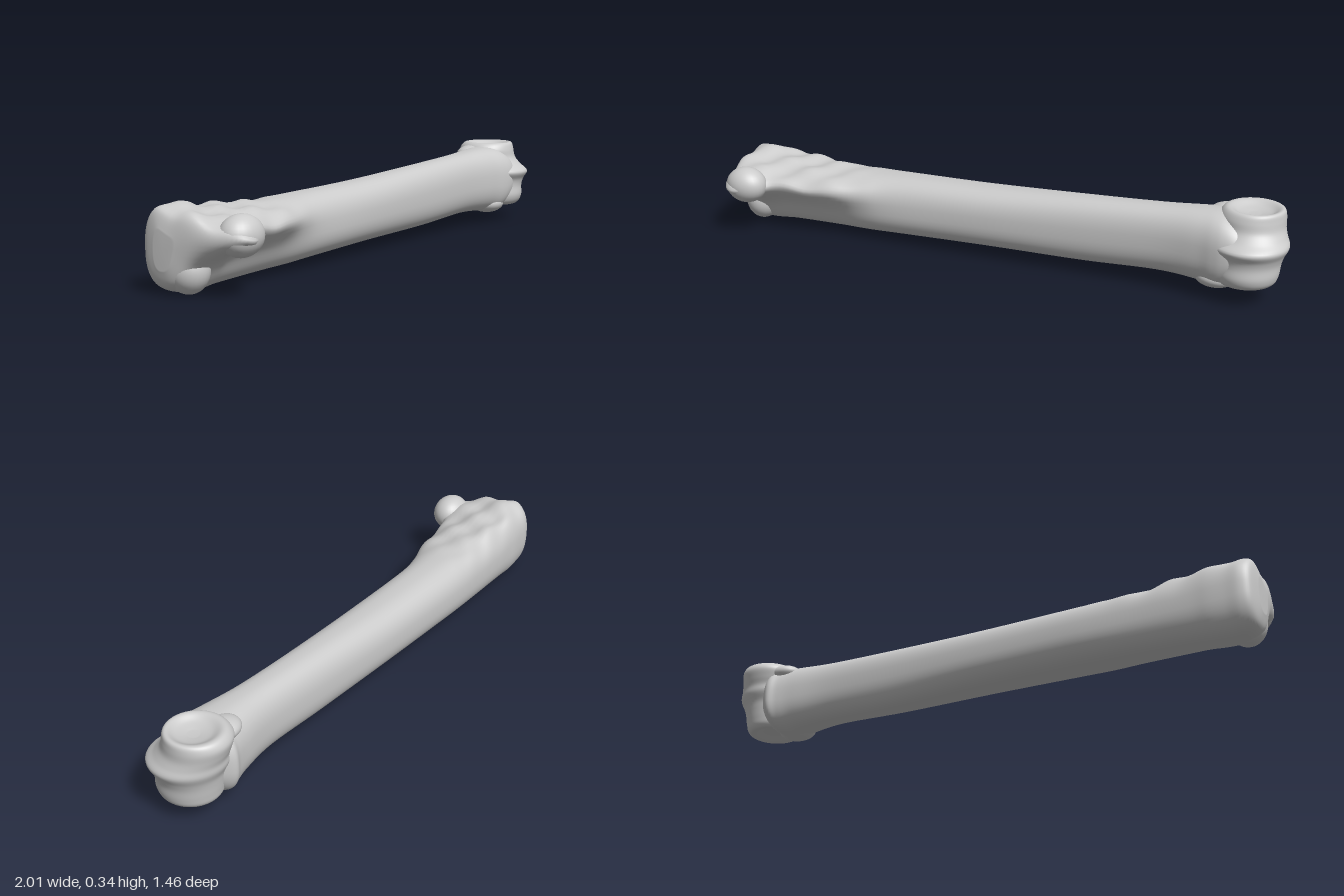
import * as THREE from 'three';

const material = new THREE.MeshStandardMaterial({ color: 0xcccccc });
const SEG = 56;

// Horizontal bone frame: s runs along the shaft, w across it towards the front
const along = new THREE.Vector3(0.857, 0, -0.515);
const across = new THREE.Vector3(0.515, 0, 0.857);
const place = (s, w, y) => new THREE.Vector3(0, y, 0).addScaledVector(along, s).addScaledVector(across, w);

// Smoothly sample a table of rows, keyed by their position in the table
function resample(rows, steps) {
  const out = [];
  for (let i = 0; i < rows.length - 1; i++) {
    const [a, b, c, d] = [-1, 0, 1, 2].map(k => rows[THREE.MathUtils.clamp(i + k, 0, rows.length - 1)]);
    for (let j = 0; j < steps; j++) {
      const t = j / steps;
      out.push(b.map((v, k) => v + 0.5 * t * (c[k] - a[k]
        + t * (2 * a[k] - 5 * v + 4 * c[k] - d[k] + t * (3 * (v - c[k]) + d[k] - a[k])))));
    }
  }
  out.push(rows[rows.length - 1]);
  return out;
}

// Skin closed rings of points, with a centre point closing each end
function loft(name, rings) {
  const pos = [], index = [], n = SEG;
  rings.forEach(r => r.forEach(p => pos.push(p.x, p.y, p.z)));
  for (let i = 0; i < rings.length - 1; i++) {
    for (let j = 0; j < n; j++) {
      const a = i * n + j, b = i * n + (j + 1) % n;
      index.push(a, b, a + n, b, b + n, a + n);
    }
  }
  [0, rings.length - 1].forEach((r, end) => {
    const c = new THREE.Vector3();
    rings[r].forEach(p => c.addScaledVector(p, 1 / n));
    const id = pos.length / 3;
    pos.push(c.x, c.y, c.z);
    for (let j = 0; j < n; j++) {
      const a = r * n + j, b = r * n + (j + 1) % n;
      if (end) index.push(id, a, b); else index.push(id, b, a);
    }
  });
  const g = new THREE.BufferGeometry();
  g.setAttribute('position', new THREE.Float32BufferAttribute(pos, 3));
  g.setIndex(index);
  g.computeVertexNormals();
  const mesh = new THREE.Mesh(g, material);
  mesh.name = name;
  return mesh;
}

const power = (v, e) => Math.sign(v) * Math.pow(Math.abs(v), e);

// Shaft and broad near end: s, back w, front w, bottom y, top y, side process reach
const shaftRows = [
  [-1.10, -0.10, -0.03, 0.09, 0.22, 0.02],
  [-1.085, -0.15, 0.01, 0.04, 0.28, 0.07],
  [-1.05, -0.17, 0.03, 0.015, 0.305, 0.17],
  [-1.00, -0.175, 0.035, 0.005, 0.305, 0.21],
  [-0.94, -0.18, 0.03, 0.005, 0.295, 0.195],
  [-0.88, -0.18, 0.025, 0.01, 0.285, 0.13],
  [-0.78, -0.183, 0.03, 0.015, 0.275, 0.10],
  [-0.63, -0.187, 0.035, 0.02, 0.268, 0.075],
  [-0.50, -0.19, 0.045, 0.024, 0.268, 0.025],
  [-0.35, -0.19, 0.045, 0.03, 0.27, 0],
  [0.00, -0.183, 0.034, 0.04, 0.278, 0],
  [0.40, -0.168, 0.02, 0.047, 0.298, 0],
  [0.70, -0.163, 0.018, 0.062, 0.315, 0],
  [0.86, -0.18, 0.035, 0.055, 0.327, 0],
  [0.93, -0.195, 0.05, 0.045, 0.33, 0],
  [0.97, -0.21, 0.055, 0.055, 0.325, 0],
  [1.01, -0.18, 0.05, 0.085, 0.305, 0],
  [1.05, -0.13, 0.03, 0.11, 0.28, 0],
];

function makeShaft() {
  const rings = resample(shaftRows, 6).map(([s, w0, w1, y0, y1, reach]) => {
    const rough = 0.006 * THREE.MathUtils.smoothstep(-s, 0.45, 0.75);
    return Array.from({ length: SEG }, (_, j) => {
      const a = j / SEG * Math.PI * 2;
      const c = Math.cos(a), u = power(c, 0.8), v = -power(Math.sin(a), 0.8);
      let y = (y0 + y1) / 2 + v * (y1 - y0) / 2;
      let w = (w0 + w1) / 2 + u * (w1 - w0) / 2;
      // Side process grows out of the upper front half
      const front = THREE.MathUtils.smoothstep(u, -0.5, 0.8);
      w += reach * front * Math.exp(-(((y - 0.215) / 0.075) ** 2));
      // Worn, uneven surface on the upper side of the near end
      y += rough * Math.max(v, 0) * (Math.sin(s * 41 + w * 30) + Math.sin(w * 47 - s * 17));
      // Shallow hollow between the main body and the process
      y -= 0.12 * reach * Math.max(v, 0) * front;
      return place(s, w, y);
    });
  });
  return loft('shaft', rings);
}

// Far joint: y, radius, centre x, centre z; two rounded lips and a central keel
const jointRows = [
  [0.088, 0.04, 0.85, -0.59],
  [0.072, 0.085, 0.85, -0.588],
  [0.085, 0.108, 0.853, -0.585],
  [0.115, 0.118, 0.855, -0.583],
  [0.155, 0.120, 0.855, -0.588],
  [0.185, 0.126, 0.858, -0.59],
  [0.22, 0.142, 0.858, -0.588],
  [0.25, 0.126, 0.85, -0.605],
  [0.28, 0.119, 0.838, -0.617],
  [0.315, 0.119, 0.832, -0.622],
  [0.34, 0.108, 0.838, -0.624],
  [0.345, 0.09, 0.842, -0.624],
  [0.33, 0.06, 0.845, -0.622],
  [0.322, 0.02, 0.845, -0.62],
];

function makeJoint() {
  const rings = resample(jointRows, 5).map(([y, r, cx, cz]) =>
    Array.from({ length: SEG }, (_, j) => {
      const a = j / SEG * Math.PI * 2;
      return new THREE.Vector3(cx + r * Math.sin(a), y, cz + r * Math.cos(a));
    }));
  return loft('farJoint', rings);
}

// Small rounded swellings: name, s, w, y, then radii along s, y and w
const swellings = [
  ['processKnob', -0.97, 0.165, 0.21, 0.085, 0.072, 0.07],
  ['lowerNearLobe', -1.02, -0.02, 0.085, 0.07, 0.08, 0.075],
  ['lowerFarTubercle', 0.93, -0.04, 0.085, 0.08, 0.042, 0.07],
  ['upperFarTubercle', 0.94, -0.13, 0.3, 0.07, 0.035, 0.06],
];

export function createModel() {
  const model = new THREE.Group();
  model.name = 'bone';
  model.add(makeShaft(), makeJoint());
  for (const [name, s, w, y, rs, ry, rw] of swellings) {
    const mesh = new THREE.Mesh(new THREE.SphereGeometry(1, 28, 20), material);
    mesh.name = name;
    mesh.scale.set(rs, ry, rw);
    mesh.rotation.y = Math.atan2(0.515, 0.857);
    mesh.position.copy(place(s, w, y));
    model.add(mesh);
  }
  return model;
}
